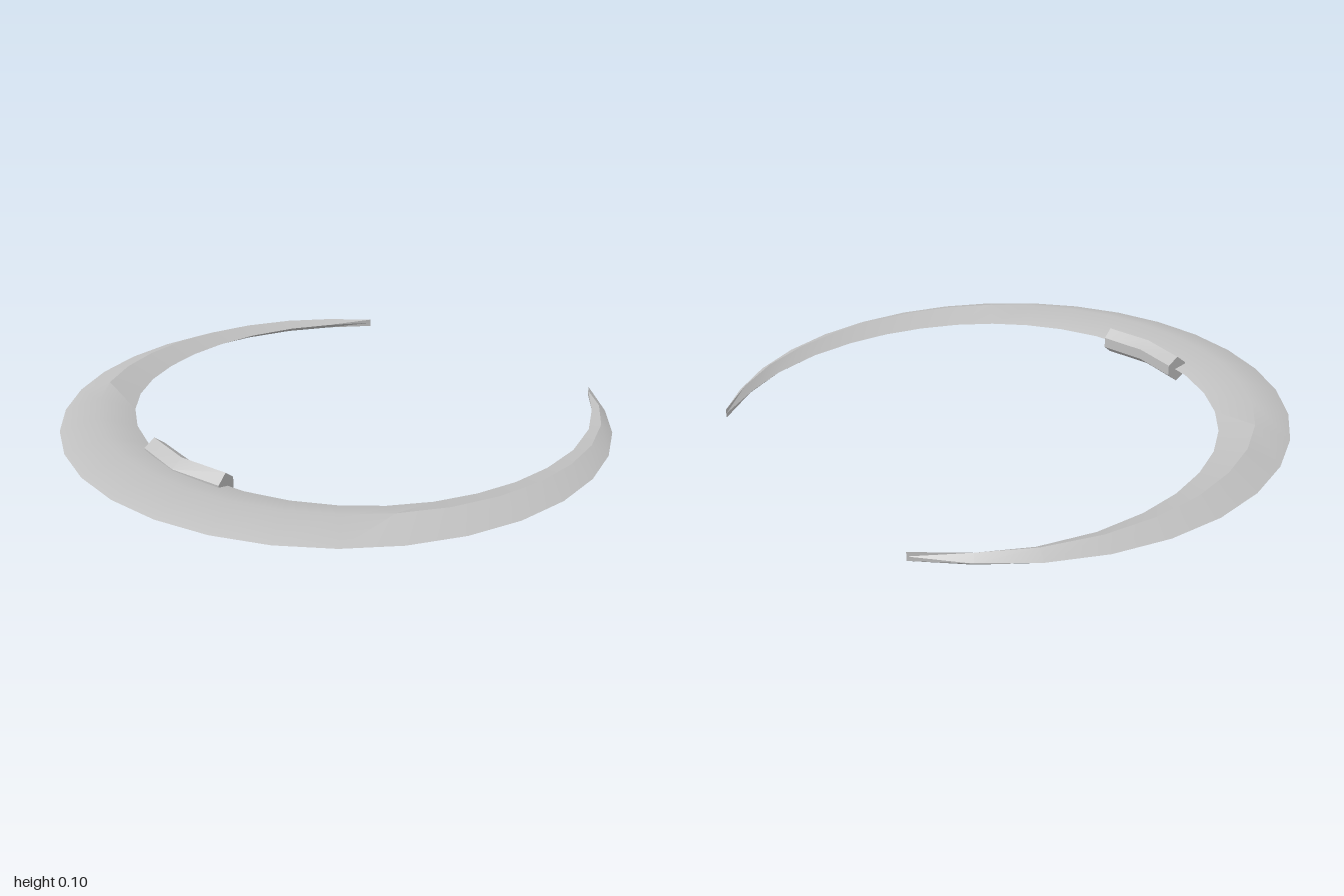
import * as THREE from 'three';
import { toCreasedNormals } from 'three/addons/utils/BufferGeometryUtils.js';

const MID = 0.05; // height of the blade's cutting plane

// Skins a row of closed cross-sections, optionally closing both ends.
function loft(sections, crease, caps) {
  const pos = [];
  const tri = (...pts) => pts.forEach((p) => pos.push(...p));
  const n = sections[0].length;
  for (let i = 0; i < sections.length - 1; i++) {
    for (let j = 0; j < n; j++) {
      const k = (j + 1) % n;
      const a = sections[i][j], b = sections[i + 1][j];
      const c = sections[i + 1][k], d = sections[i][k];
      tri(a, b, c);
      tri(a, c, d);
    }
  }
  if (caps) {
    const s = sections[0], e = sections[sections.length - 1];
    for (let j = 1; j < n - 1; j++) {
      tri(s[0], s[j], s[j + 1]);
      tri(e[0], e[j + 1], e[j]);
    }
  }
  const geo = new THREE.BufferGeometry();
  geo.setAttribute('position', new THREE.Float32BufferAttribute(pos, 3));
  return toCreasedNormals(geo, crease);
}

// Inner edge of one half of the blade (x, z), from the front centre to the tip
const INNER = [
  [0, 0.61], [0.13, 0.602], [0.25, 0.58], [0.396, 0.52], [0.524, 0.436],
  [0.63, 0.334], [0.717, 0.21], [0.78, 0.07], [0.82, -0.08], [0.834, -0.238],
  [0.82, -0.414], [0.765, -0.6], [0.68, -0.757], [0.57, -0.91],
];

// Diamond section: outer edge, upper ridge, inner edge, lower ridge
function bladeSection(i) {
  const last = INNER.length - 1;
  const m = Math.abs(i), side = Math.sign(i);
  const t = m / last;
  const angle = t * THREE.MathUtils.degToRad(145.2);
  const xi = side * INNER[m][0], zi = INNER[m][1];
  const xo = m === last ? xi : side * Math.sin(angle);
  const zo = m === last ? zi : -0.09 + Math.cos(angle);
  const h = 0.042 - 0.027 * Math.pow(t, 2.6);
  const xm = (xi + xo) / 2, zm = (zi + zo) / 2;
  return [[xo, MID, zo], [xm, MID + h, zm], [xi, MID, zi], [xm, MID - h, zm]];
}

// Six-sided section of the grip; its ends lean with the bend
function gripSection(side) {
  const z = side ? 0.6 : 0.63;
  return [[0.04, 0.03], [0.04, 0.07], [0, 0.1], [-0.04, 0.07], [-0.04, 0.03], [0, 0]]
    .map(([dz, y]) => [side * (0.186 + dz * 0.2), y, z + dz * (side ? 0.93 : 1)]);
}

export function createModel() {
  const model = new THREE.Group();
  model.name = 'crescentBlade';
  const steel = new THREE.MeshStandardMaterial({ color: 0xc0c0c0 });
  steel.name = 'steel';

  // Crescent blade, running from the right tip round the front to the left tip
  const last = INNER.length - 1;
  const sections = [];
  for (let i = -last; i <= last; i++) sections.push(bladeSection(i));
  const blade = new THREE.Mesh(loft(sections, 0.637, false), steel);
  blade.name = 'blade';
  model.add(blade);

  // Bent grip on the inner edge
  const grip = new THREE.Mesh(loft([-1, 0, 1].map(gripSection), 0.2, true), steel);
  grip.name = 'grip';
  model.add(grip);

  return model;
}
